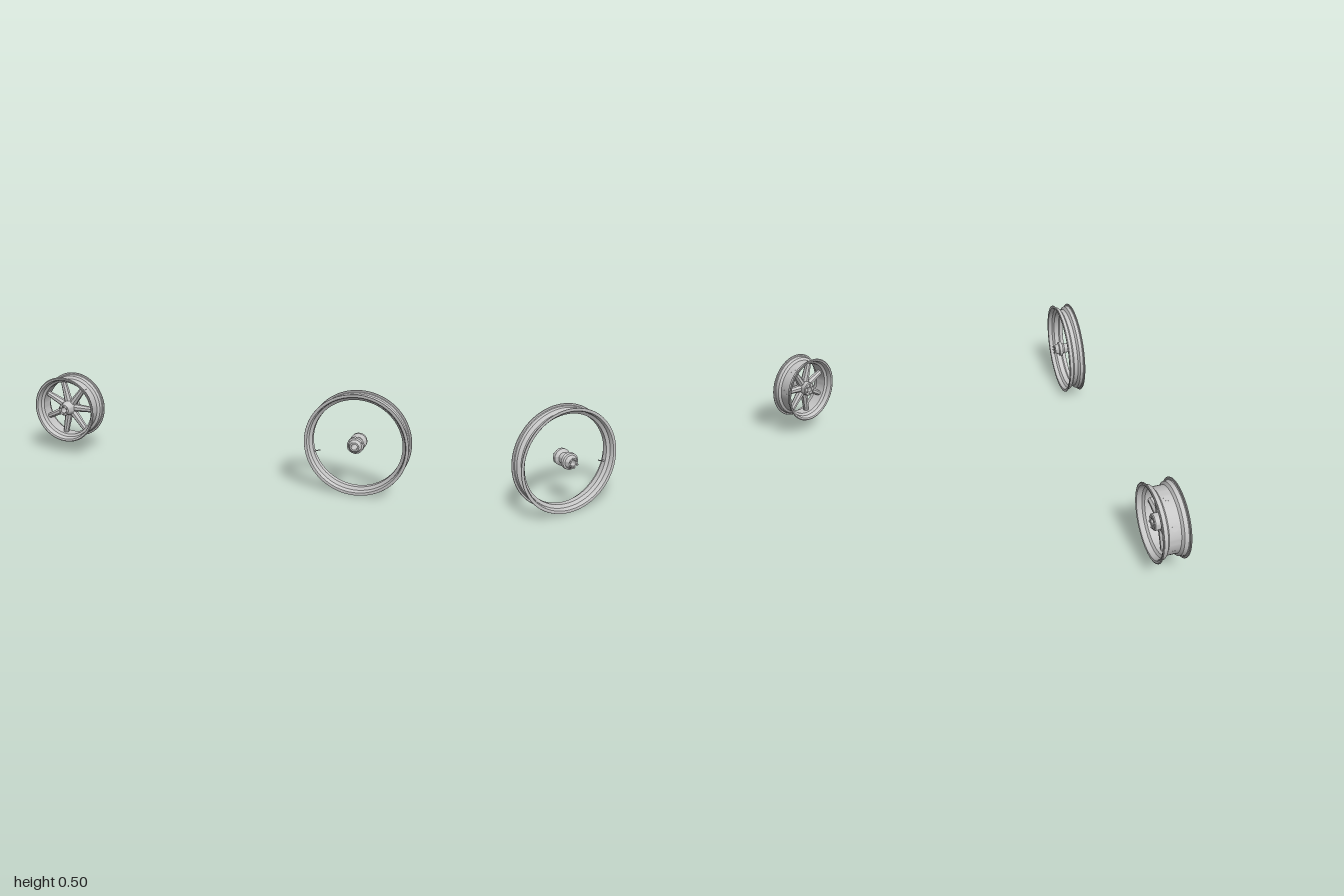
import * as THREE from 'three';
import { toCreasedNormals } from 'three/addons/utils/BufferGeometryUtils.js';

const alloy = new THREE.MeshStandardMaterial({ color: 0xc8c8c8 });
alloy.name = 'light alloy';

function add(parent, name, geometry) {
  const mesh = new THREE.Mesh(geometry, alloy);
  mesh.name = name;
  parent.add(mesh);
  return mesh;
}

// Closed ring about the z axis; profile points are [z, radius]
function turned(profile, segments) {
  const points = [...profile, profile[0]].map(([z, r]) => new THREE.Vector2(r, z));
  const geometry = new THREE.LatheGeometry(points, segments).rotateX(Math.PI / 2);
  return toCreasedNormals(geometry, 0.6);
}

// Symmetrical rim: half profile runs from the outer well over the flange to the inner well
function rim(half) {
  const mirrored = half.map(([z, r]) => [-z, r]).reverse();
  return turned([...half, ...mirrored], 96);
}

// Circle of hexagonal bolt heads around the hub
function boltCircle(parent, count, radius, z, size, length) {
  for (let i = 0; i < count; i++) {
    const a = (i / count) * Math.PI * 2 + Math.PI / 2;
    const bolt = add(parent, 'hubBolt', toCreasedNormals(
      new THREE.CylinderGeometry(size, size, length, 6).rotateX(Math.PI / 2), 0.6));
    bolt.position.set(Math.cos(a) * radius, Math.sin(a) * radius, z);
  }
}

function largeWheel() {
  const wheel = new THREE.Group();
  wheel.name = 'largeWheel';
  add(wheel, 'largeRim', rim([
    [0.0105, 0.22], [0.02, 0.235], [0.036, 0.237], [0.039, 0.24], [0.04, 0.247],
    [0.042, 0.249], [0.0445, 0.248], [0.0455, 0.244], [0.043, 0.235],
    [0.038, 0.231], [0.023, 0.229], [0.013, 0.215]]));

  // Waisted hub with two flanges and tapering ends
  add(wheel, 'largeHub', turned([
    [-0.065, 0.022], [-0.046, 0.031], [-0.042, 0.039], [-0.026, 0.04], [-0.02, 0.031],
    [-0.014, 0.026], [0.014, 0.026], [0.02, 0.031], [0.026, 0.04], [0.042, 0.039],
    [0.046, 0.031], [0.063, 0.022], [0.063, 0.014], [-0.065, 0.014]], 48));
  boltCircle(wheel, 6, 0.02, -0.068, 0.0045, 0.01);
  boltCircle(wheel, 6, 0.035, 0.043, 0.004, 0.008);

  // Valve stem pointing inward
  const valve = new THREE.Group();
  valve.name = 'valve';
  const stem = add(valve, 'valveStem', new THREE.CylinderGeometry(0.0025, 0.0025, 0.034, 12).rotateZ(Math.PI / 2));
  stem.position.x = 0.202;
  const nut = add(valve, 'valveNut', new THREE.CylinderGeometry(0.005, 0.005, 0.005, 12).rotateZ(Math.PI / 2));
  nut.position.x = 0.212;
  valve.rotation.z = Math.PI * 1.1;
  wheel.add(valve);
  return wheel;
}

function smallWheel() {
  const wheel = new THREE.Group();
  wheel.name = 'smallWheel';
  add(wheel, 'smallRim', rim([
    [0.027, 0.15], [0.036, 0.163], [0.054, 0.166], [0.057, 0.169], [0.058, 0.176],
    [0.06, 0.178], [0.063, 0.177], [0.0645, 0.173], [0.062, 0.164],
    [0.055, 0.16], [0.039, 0.157], [0.03, 0.145]]));

  // Hub with stepped front nose
  add(wheel, 'smallHub', turned([
    [-0.048, 0.034], [-0.044, 0.038], [0.03, 0.038], [0.036, 0.034], [0.062, 0.032],
    [0.066, 0.029], [0.066, 0.015], [-0.048, 0.015]], 48));
  boltCircle(wheel, 6, 0.022, 0.07, 0.004, 0.008);
  boltCircle(wheel, 6, 0.026, -0.05, 0.004, 0.008);

  // Seven tapered spokes with bevelled faces
  const count = 7;
  for (let i = 0; i < count; i++) {
    const geometry = new THREE.CylinderGeometry(0.014, 0.021, 0.122, 8);
    geometry.rotateY(Math.PI / 8).scale(1, 1, 1.15).translate(0, 0.089, 0);
    const spoke = add(wheel, 'spoke', toCreasedNormals(geometry, 0.5));
    spoke.rotation.z = (i / count) * Math.PI * 2 - Math.PI / 2;
  }
  return wheel;
}

export function createModel() {
  const model = new THREE.Group();
  model.name = 'wheelPair';
  const small = smallWheel();
  small.position.set(-0.822, 0.247, 0);
  const large = largeWheel();
  large.position.set(0.751, 0.249, -0.001);
  model.add(small, large);
  return model;
}
